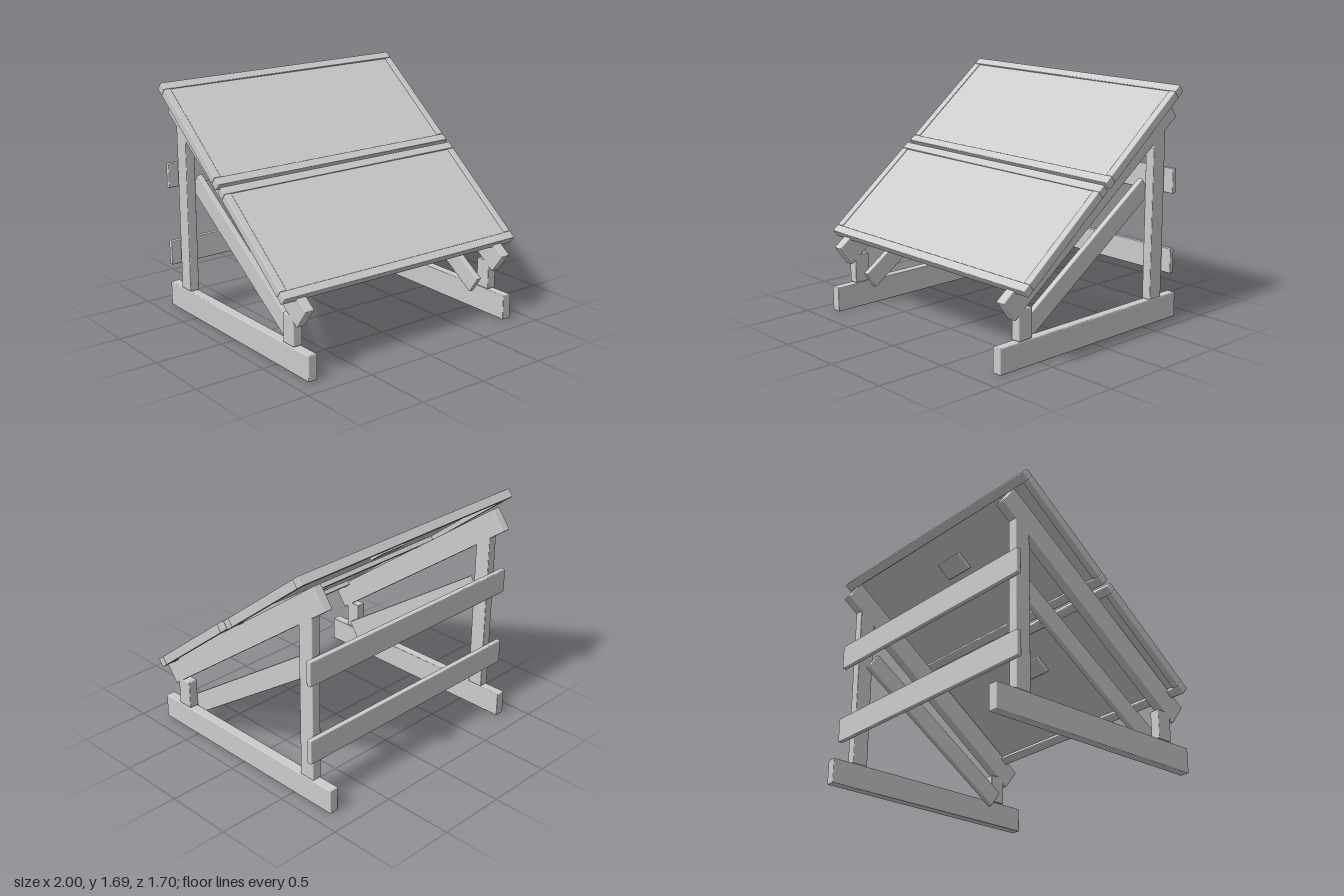
import * as THREE from 'three';
import { RoundedBoxGeometry } from 'three/addons/geometries/RoundedBoxGeometry.js';

const material = new THREE.MeshStandardMaterial({ color: 0xcccccc });

// Softly bevelled board of size w, h, d centred on x, y, z and tilted back by an angle
function board(name, [w, h, d], [x, y, z], tilt = 0) {
  const mesh = new THREE.Mesh(new RoundedBoxGeometry(w, h, d, 2, 0.006), material);
  mesh.name = name;
  mesh.position.set(x, y, z);
  mesh.rotation.x = THREE.MathUtils.degToRad(tilt);
  return mesh;
}

// Framed panel; the origin is the top edge of its lower rail, uphill is -z
function framedPanel(name, y, z) {
  const length = 0.904, thick = 0.064, rail = 0.06, side = 0.052;
  const panel = new THREE.Group();
  panel.name = name;
  panel.add(
    board('lowerRail', [2, thick, rail], [0, -thick / 2, -rail / 2]),
    board('upperRail', [2, thick, rail], [0, -thick / 2, -length + rail / 2]),
  );
  for (const s of [-1, 1]) {
    panel.add(board('sideRail', [side, thick, length - 2 * rail], [s * (1 - side / 2), -thick / 2, -length / 2]));
  }
  // Recessed sheet and the small box on its underside
  panel.add(
    board('sheet', [2 - 2 * side + 0.01, 0.02, length - 2 * rail + 0.01], [0, -0.02, -length / 2]),
    board('junctionBox', [0.22, 0.034, 0.13], [0, -0.043, -length + 0.3]),
  );
  panel.position.set(0, y, z);
  panel.rotation.x = THREE.MathUtils.degToRad(38.3);
  return panel;
}

export function createModel() {
  const model = new THREE.Group();
  model.name = 'tiltedPanelStand';

  // Two mirrored side trusses
  for (const s of [-1, 1]) {
    const truss = new THREE.Group();
    truss.name = s > 0 ? 'leftTruss' : 'rightTruss';
    const x = s * 0.853, w = 0.07;
    truss.add(
      board('baseBeam', [w, 0.178, 1.695], [x, 0.089, 0.002]),
      board('frontPost', [w, 0.207, 0.117], [x, 0.2865, 0.631]),
      board('rearPost', [w, 1.195, 0.117], [x, 0.7775, -0.628]),
      board('slopedBeam', [w, 0.171, 1.888], [x, 0.957, 0.012], 36.4),
      board('diagonalBrace', [0.04, 0.14, 1.41], [s * 0.797, 0.584, -0.002], 34.2),
    );
    model.add(truss);
  }

  // Boards across the back posts
  for (const y of [0.447, 1.017]) {
    model.add(board('backBoard', [1.904, 0.176, 0.036], [0, y, -0.719]));
  }

  model.add(framedPanel('lowerPanel', 0.557, 0.756), framedPanel('upperPanel', 1.128, 0.024));
  return model;
}
